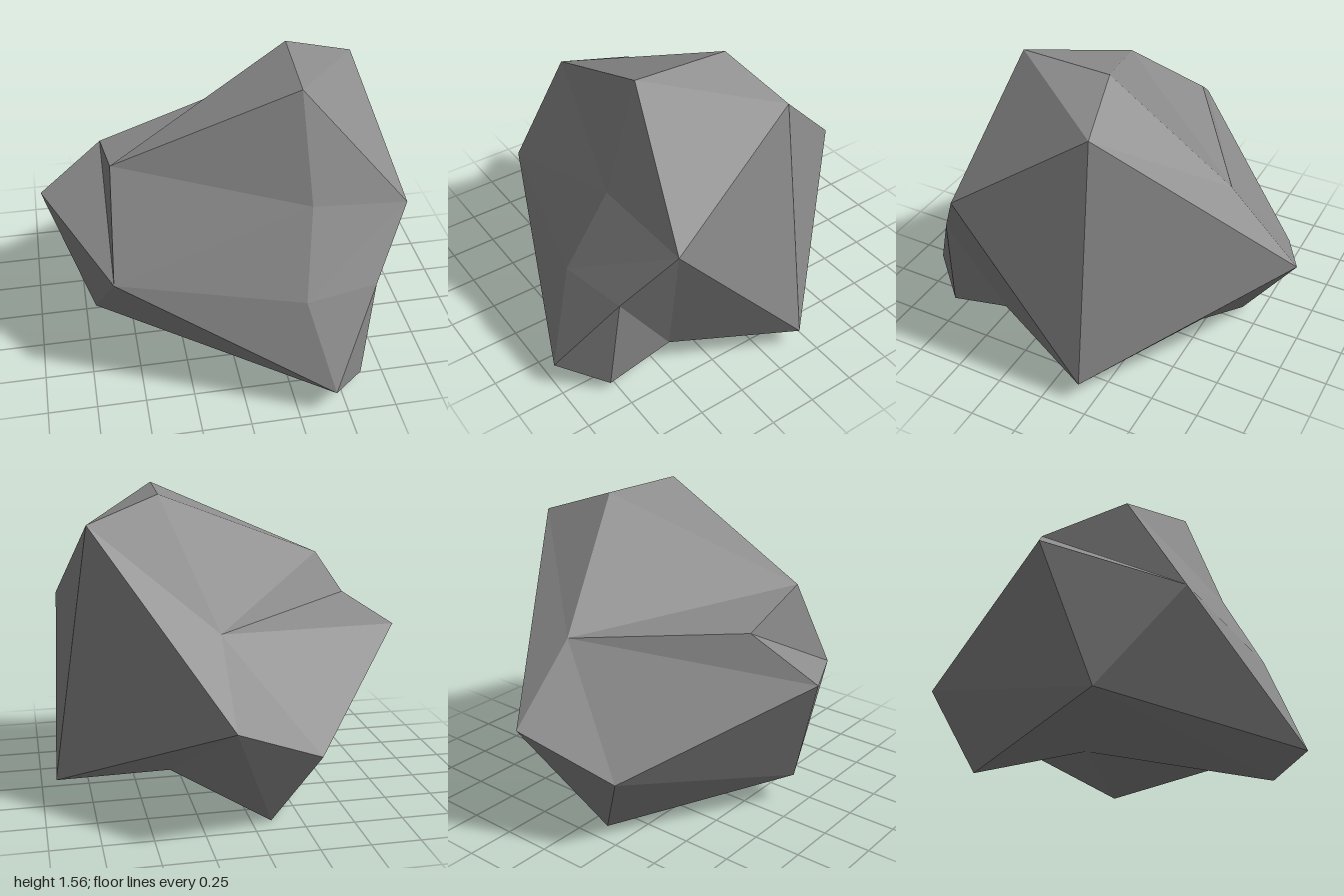
import * as THREE from 'three';

// Corner points of the boulder
const corners = {
  // crown
  I: [0.36, 1.56, -0.07], J: [0.33, 1.56, 0.42], H: [0.73, 1.43, -0.16],
  K: [-0.58, 1.16, 0.3], L: [-0.6, 1.03, -0.135], M: [0.15, 0.97, -0.63],
  // waist
  A: [0.15, 0.605, -1], B: [-0.31, 0.385, -0.81], C: [-0.93, 0.81, -0.03],
  D: [-0.615, 0.65, 0.59], F: [0.86, 0.94, 0.545], N: [0.36, 1.02, 0.61],
  O: [0.3, 0.6, 0.82], P: [0.67, 0.605, 0.75],
  // foot
  E: [0.43, 0.14, 1], Q: [0.62, 0.05, 0.79], V: [0.63, 0.14, 0.44],
  G: [0.93, 0.11, -0.18], T: [0.4, 0.3, -0.61], W: [0.1, 0.13, -0.11],
  R: [-0.1, 0, -0.645], S: [-0.7, 0.16, 0.16],
};

// Facets as triangle fans: hub corner, then its rim in order
const fans = {
  backSlope: 'MIHABCLKI',
  crown: 'JFHIKNF',
  frontFace: 'OFNDEPF',
  sideNotch: 'DNKLCSE',
  sideFace: 'GAHFVWTA',
  frontFoot: 'QPESWVP',
  backFoot: 'RTWSBAT',
  sideChip: 'SCB',
  frontChip: 'PVF',
};

function fanGeometry(list) {
  const positions = [];
  for (const fan of list) {
    for (let i = 1; i < fan.length - 1; i++) {
      for (const key of [fan[0], fan[i], fan[i + 1]]) positions.push(...corners[key]);
    }
  }
  const geometry = new THREE.BufferGeometry();
  geometry.setAttribute('position', new THREE.Float32BufferAttribute(positions, 3));
  geometry.computeVertexNormals(); // unshared corners give flat facets
  return geometry;
}

export function createModel() {
  const stone = new THREE.MeshStandardMaterial({ color: 0x8c8c8c });
  stone.name = 'stoneGrey';

  const group = new THREE.Group();
  group.name = 'rock';

  const boulder = new THREE.Mesh(fanGeometry(Object.values(fans)), stone);
  boulder.name = 'boulder';
  group.add(boulder);
  return group;
}
